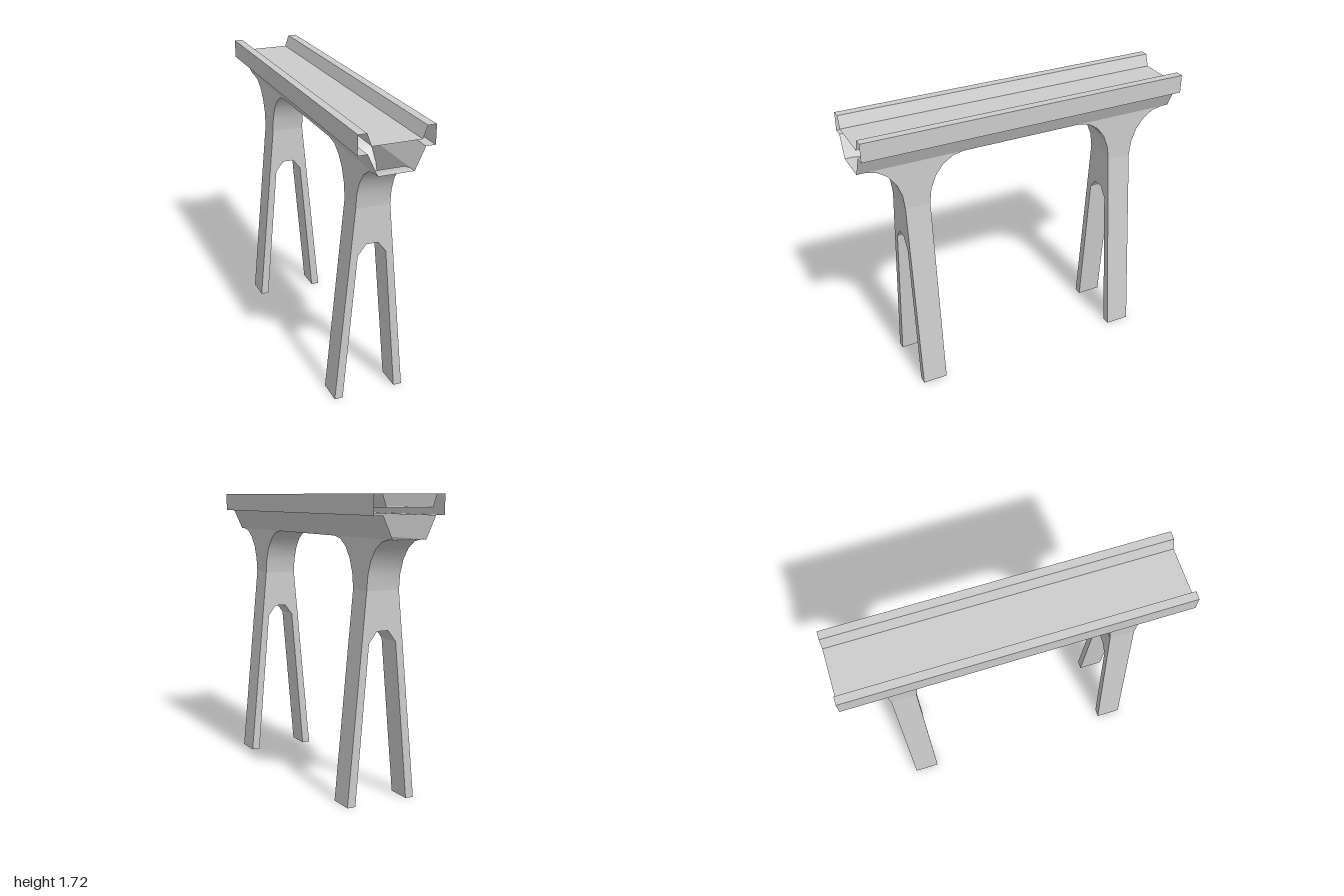
import * as THREE from 'three';
import { toCreasedNormals } from 'three/addons/utils/BufferGeometryUtils.js';

const HALF = 0.102;      // half width of the trough floor and pier head
const DECK_Y = 1.485;    // underside of the trough
const SPRING_Y = 1.2;    // where the haunch curves start
const PIER_Z = 0.665, PIER_D = 0.075, REACH = 0.217;

const material = new THREE.MeshStandardMaterial({ color: 0xcccccc, side: THREE.DoubleSide });

function addMesh(group, name, geometry) {
  const mesh = new THREE.Mesh(geometry, material);
  mesh.name = name;
  group.add(mesh);
  return mesh;
}

// Open ribbon of quads between two matching rows of points
function ribbon(rowA, rowB) {
  const pos = [];
  for (let i = 0; i < rowA.length - 1; i++) {
    const a = rowA[i], b = rowB[i], a2 = rowA[i + 1], b2 = rowB[i + 1];
    pos.push(...a, ...b, ...a2, ...b, ...b2, ...a2);
  }
  const geometry = new THREE.BufferGeometry();
  geometry.setAttribute('position', new THREE.Float32BufferAttribute(pos, 3));
  geometry.computeVertexNormals();
  return toCreasedNormals(geometry, 0.5);
}

// Profile in x,y swept along z; profile in z,y swept along x
const sweepZ = (pts, half) => ribbon(pts.map(([x, y]) => [x, y, -half]), pts.map(([x, y]) => [x, y, half]));
const sweepX = (pts, half) => ribbon(pts.map(([z, y]) => [-half, y, z]), pts.map(([z, y]) => [half, y, z]));

const mirror = (pts) => pts.map(([x, y]) => [-x, y]).reverse();

function flat(pts) {
  return new THREE.ShapeGeometry(new THREE.Shape(pts.map(([x, y]) => new THREE.Vector2(x, y))));
}

// Haunch curve from the pier face out to the deck, as offsets from the pier centre
const haunch = [];
for (let i = 0; i <= 5; i++) {
  const t = (i / 5) * Math.PI / 2;
  haunch.push([PIER_D + REACH * (1 - Math.cos(t)), SPRING_Y + (DECK_Y - SPRING_Y) * Math.sin(t)]);
}
const shift = (pts, dz) => pts.map(([z, y]) => [z + dz, y]);

function createPier() {
  const pier = new THREE.Group();
  const opening = [[0.165, 0], [0.085, 0.913], [0.035, 0.977]];
  const arch = [...opening, ...mirror(opening)];

  // Front and back A-shaped faces
  const face = [[-0.215, 0], ...[...arch].reverse(), [0.215, 0], [HALF, SPRING_Y], [-HALF, SPRING_Y]];
  addMesh(pier, 'pierFront', flat(face).translate(0, 0, PIER_D));
  addMesh(pier, 'pierBack', flat(face).rotateY(Math.PI).translate(0, 0, -PIER_D));

  // Sloping outer sides and the opening between the legs
  const side = [[-0.215, 0], [-HALF, SPRING_Y]];
  addMesh(pier, 'legOuterRight', sweepZ(side, PIER_D));
  addMesh(pier, 'legOuterLeft', sweepZ(mirror(side), PIER_D));
  addMesh(pier, 'legOpening', sweepZ(arch, PIER_D));

  // Flared cheeks of the pier head
  const cheek = [...haunch, ...mirror(haunch)];
  for (const s of [1, -1]) {
    addMesh(pier, s > 0 ? 'headCheekLeft' : 'headCheekRight',
      flat(cheek).rotateY(s * Math.PI / 2).translate(s * HALF, 0, 0));
  }
  return pier;
}

export function createModel() {
  const model = new THREE.Group();
  model.name = 'viaductSpan';

  // Trough deck with parapets, open at both ends
  const halfDeck = [[-HALF, DECK_Y], [-0.16, 1.61], [-0.215, 1.61], [-0.215, 1.72], [-0.165, 1.72], [-0.14, 1.65]];
  addMesh(model, 'deck', sweepZ([...halfDeck, ...mirror(halfDeck)], 1));

  // Curved soffits: one central span and two end overhangs
  const outer = [...shift(haunch, PIER_Z), [1, DECK_Y]];
  const inner = shift(mirror(haunch), PIER_Z).reverse();
  addMesh(model, 'soffitFront', sweepX(outer, HALF));
  addMesh(model, 'soffitBack', sweepX(mirror(outer), HALF));
  addMesh(model, 'soffitMiddle', sweepX([...mirror(inner).reverse().sort((a, b) => a[0] - b[0]), ...[...inner].reverse()], HALF));

  for (const s of [1, -1]) {
    const pier = createPier();
    pier.name = s > 0 ? 'frontPier' : 'backPier';
    pier.position.z = s * PIER_Z;
    model.add(pier);
  }
  return model;
}
